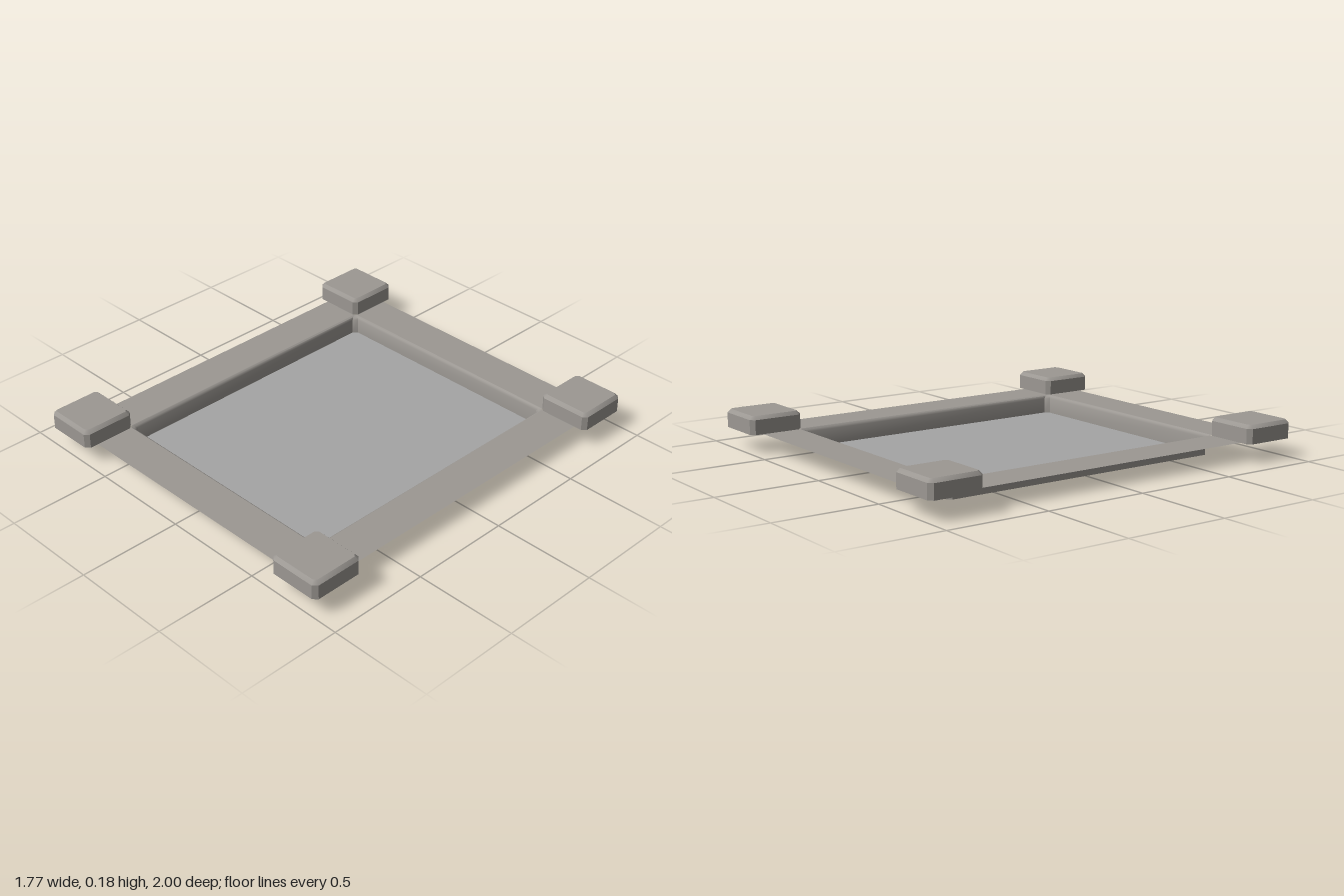
import * as THREE from 'three';
import { toCreasedNormals } from 'three/addons/utils/BufferGeometryUtils.js';

const stone = new THREE.MeshStandardMaterial({ color: 0x9c9893, side: THREE.DoubleSide });
const floorGrey = new THREE.MeshStandardMaterial({ color: 0xa5a5a5, side: THREE.DoubleSide });

// Loft through rectangles with cut corners; each ring is [halfX, halfZ, corner cut, y].
// The last ring is closed with a cap unless capped is false.
function loftRings(rings, capped = true) {
  const pos = [];
  const loops = rings.map(([hx, hz, c, y]) => [
    [hx, y, -hz + c], [hx - c, y, -hz], [-hx + c, y, -hz], [-hx, y, -hz + c],
    [-hx, y, hz - c], [-hx + c, y, hz], [hx - c, y, hz], [hx, y, hz - c],
  ]);
  for (let r = 0; r < loops.length - 1; r++) {
    for (let i = 0; i < 8; i++) {
      const j = (i + 1) % 8;
      const a = loops[r][i], b = loops[r][j], d = loops[r + 1][i], e = loops[r + 1][j];
      pos.push(...a, ...b, ...e, ...a, ...e, ...d);
    }
  }
  if (capped) {
    const cap = loops[loops.length - 1];
    for (let i = 1; i < 7; i++) pos.push(...cap[0], ...cap[i], ...cap[i + 1]);
  }
  const geo = new THREE.BufferGeometry();
  geo.setAttribute('position', new THREE.Float32BufferAttribute(pos, 3));
  return toCreasedNormals(geo, 0.7);
}

export function createModel() {
  const model = new THREE.Group();
  model.name = 'shallowBasin';
  const add = (name, geo, material, x = 0, y = 0, z = 0) => {
    const mesh = new THREE.Mesh(geo, material);
    mesh.name = name;
    mesh.position.set(x, y, z);
    model.add(mesh);
  };

  const rimY = 0.092;

  // Sunken basin: softened lip and upright walls, with a flat floor
  const floorRing = [0.617, 0.732, 0.02, 0];
  add('basinWall', loftRings([
    [0.63, 0.745, 0.012, rimY],
    [0.622, 0.737, 0.016, 0.087],
    [0.617, 0.732, 0.02, 0.075],
    floorRing,
  ], false), stone);
  add('basinFloor', loftRings([floorRing]), floorGrey);

  // Flat rim strips running between the corner blocks
  const sideStrip = new THREE.PlaneGeometry(0.195, 1.48).rotateX(-Math.PI / 2);
  const endStrip = new THREE.PlaneGeometry(1.25, 0.195).rotateX(-Math.PI / 2);
  for (const s of [-1, 1]) {
    add(s > 0 ? 'leftRim' : 'rightRim', sideStrip, stone, s * 0.7275, rimY, 0);
    add(s > 0 ? 'frontRim' : 'backRim', endStrip, stone, 0, rimY, s * 0.8425);
  }

  // Hollow corner blocks, open underneath, with bevelled tops
  const block = loftRings([
    [0.1335, 0.1335, 0.02, rimY],
    [0.1335, 0.1335, 0.02, 0.163],
    [0.118, 0.118, 0.012, 0.18],
  ]);
  for (const sx of [-1, 1]) {
    for (const sz of [-1, 1]) {
      add((sz > 0 ? 'front' : 'back') + (sx > 0 ? 'Left' : 'Right') + 'Block',
        block, stone, sx * 0.7515, 0, sz * 0.8665);
    }
  }
  return model;
}
